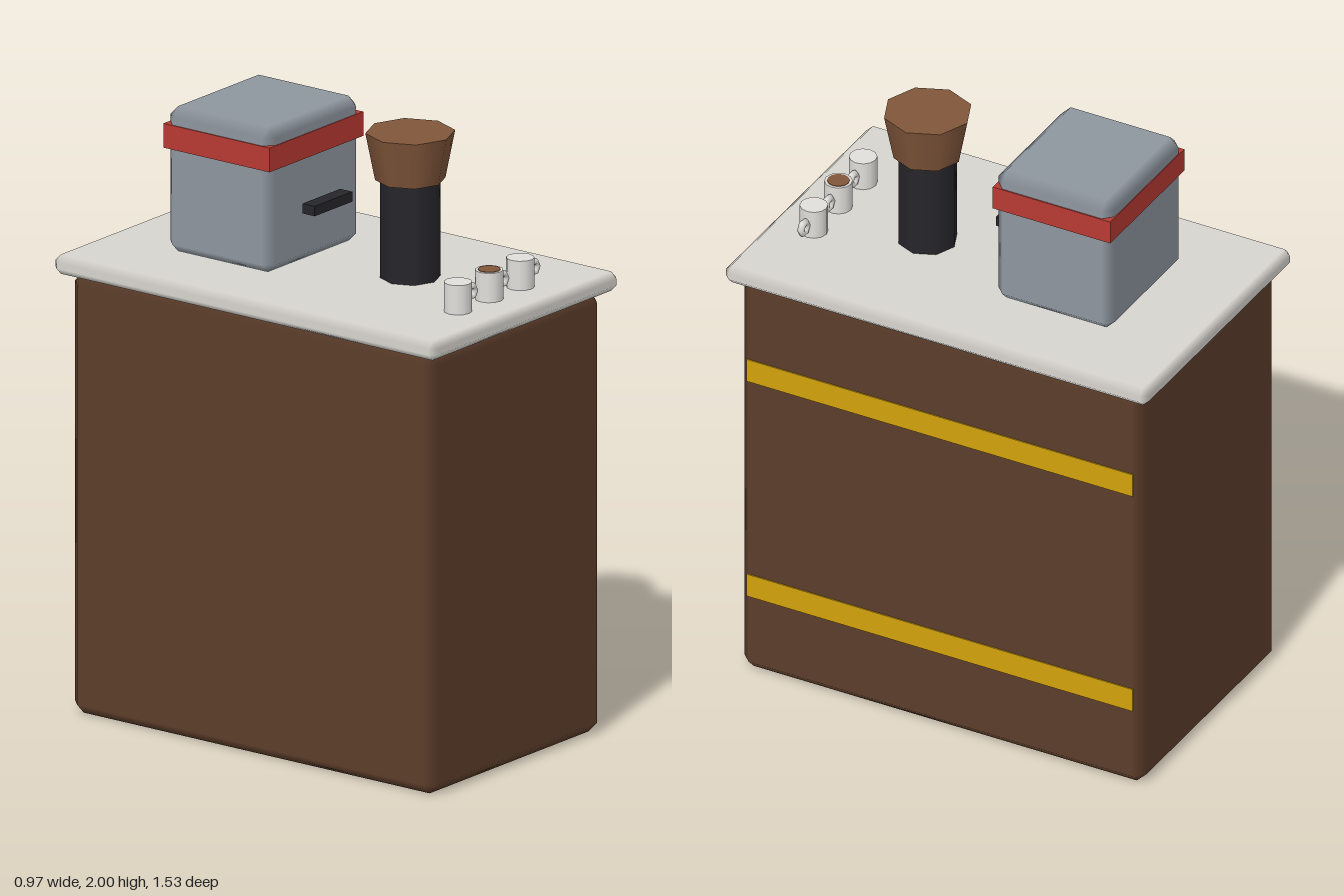
import * as THREE from 'three';

const mat = (color) => new THREE.MeshStandardMaterial({ color });
const WOOD = mat(0x5c3d2a), STONE = mat(0xd8d5cf), STEEL = mat(0x8e969f), RED = mat(0xb83a32);
const GOLD = mat(0xd4a20d), BLACK = mat(0x26262b), HOPPER = mat(0x80563a), CHINA = mat(0xe2e0dc);

// Box with one chamfer per edge; face normals blend across the chamfers
function chamferBox(w, h, d, c) {
  const half = [w / 2, h / 2, d / 2], pos = [], nor = [], index = [];
  // three vertices per corner: one on each face that meets there
  for (let k = 0; k < 8; k++) {
    const s = [k & 1, k & 2, k & 4].map((b) => (b ? 1 : -1));
    for (let a = 0; a < 3; a++) {
      for (let i = 0; i < 3; i++) {
        pos.push(s[i] * (half[i] - (i === a ? 0 : c)));
        nor.push(i === a ? s[i] : 0);
      }
    }
  }
  const at = (i) => new THREE.Vector3().fromArray(pos, i * 3);
  const tri = (i, j, k) => {
    const p = at(i), n = at(j).sub(p).cross(at(k).sub(p));
    if (n.dot(at(i).add(at(j)).add(at(k))) > 0) index.push(i, j, k);
    else index.push(i, k, j);
  };
  const quad = (i, j, k, l) => { tri(i, j, k); tri(i, k, l); };
  for (let a = 0; a < 3; a++) {
    const b = (a + 1) % 3, e = (a + 2) % 3, A = 1 << a, B = 1 << b, E = 1 << e;
    // two flat faces across axis a
    for (const o of [0, A]) quad(o * 3 + a, (o + B) * 3 + a, (o + B + E) * 3 + a, (o + E) * 3 + a);
    // four chamfers running along axis a
    for (const o of [0, B, E, B + E]) quad(o * 3 + b, o * 3 + e, (o + A) * 3 + e, (o + A) * 3 + b);
  }
  for (let k = 0; k < 8; k++) tri(k * 3, k * 3 + 1, k * 3 + 2);
  const g = new THREE.BufferGeometry();
  g.setAttribute('position', new THREE.Float32BufferAttribute(pos, 3));
  g.setAttribute('normal', new THREE.Float32BufferAttribute(nor, 3));
  g.setIndex(index);
  return g;
}

function add(parent, name, geometry, material, x, y, z) {
  const mesh = new THREE.Mesh(geometry, material);
  mesh.name = name;
  mesh.position.set(x, y, z);
  parent.add(mesh);
  return mesh;
}

export function createModel() {
  const model = new THREE.Group();
  model.name = 'coffeeCounter';
  const top = 1.52;

  // Counter body, worktop and the two trim strips on its left side
  add(model, 'counterBody', chamferBox(0.888, 1.46, 1.45, 0.035), WOOD, 0, 0.73, 0);
  add(model, 'worktop', chamferBox(0.966, 0.064, 1.526, 0.022), STONE, 0, 1.488, 0);
  for (const y of [0.324, 1.131]) {
    add(model, 'trimStrip', new THREE.BoxGeometry(0.02, 0.082, 1.39), GOLD, 0.438, y, 0);
  }

  // Coffee machine
  const machine = new THREE.Group();
  machine.name = 'coffeeMachine';
  add(machine, 'machineBody', chamferBox(0.476, 0.48, 0.418, 0.03), STEEL, 0, top + 0.24, -0.29);
  add(machine, 'machineBand', new THREE.BoxGeometry(0.484, 0.08, 0.424), RED, 0, 1.905, -0.29);
  add(machine, 'brewHead', new THREE.BoxGeometry(0.194, 0.033, 0.048), BLACK, 0, 1.713, -0.034);
  model.add(machine);

  // Grinder
  const grinder = new THREE.Group();
  grinder.name = 'grinder';
  grinder.position.set(0.03, 0, 0.273);
  add(grinder, 'grinderBody', new THREE.CylinderGeometry(0.096, 0.096, 0.326, 8), BLACK, 0, top + 0.163, 0);
  add(grinder, 'grinderHopper', new THREE.CylinderGeometry(0.143, 0.112, 0.156, 8), HOPPER, 0, 1.922, 0);
  model.add(grinder);

  // Row of cups, the middle one filled
  [-0.161, 0, 0.161].forEach((x, i) => {
    const cup = new THREE.Group();
    cup.name = 'cup';
    cup.position.set(x, top, 0.611);
    add(cup, 'cupBody', new THREE.CylinderGeometry(0.045, 0.045, 0.097, 12), CHINA, 0, 0.0485, 0);
    add(cup, 'cupHandle', new THREE.TorusGeometry(0.019, 0.012, 6, 6), CHINA, 0.066, 0.048, 0);
    if (i === 1) add(cup, 'coffee', new THREE.CylinderGeometry(0.036, 0.036, 0.006, 12), HOPPER, 0, 0.096, 0);
    model.add(cup);
  });

  return model;
}
